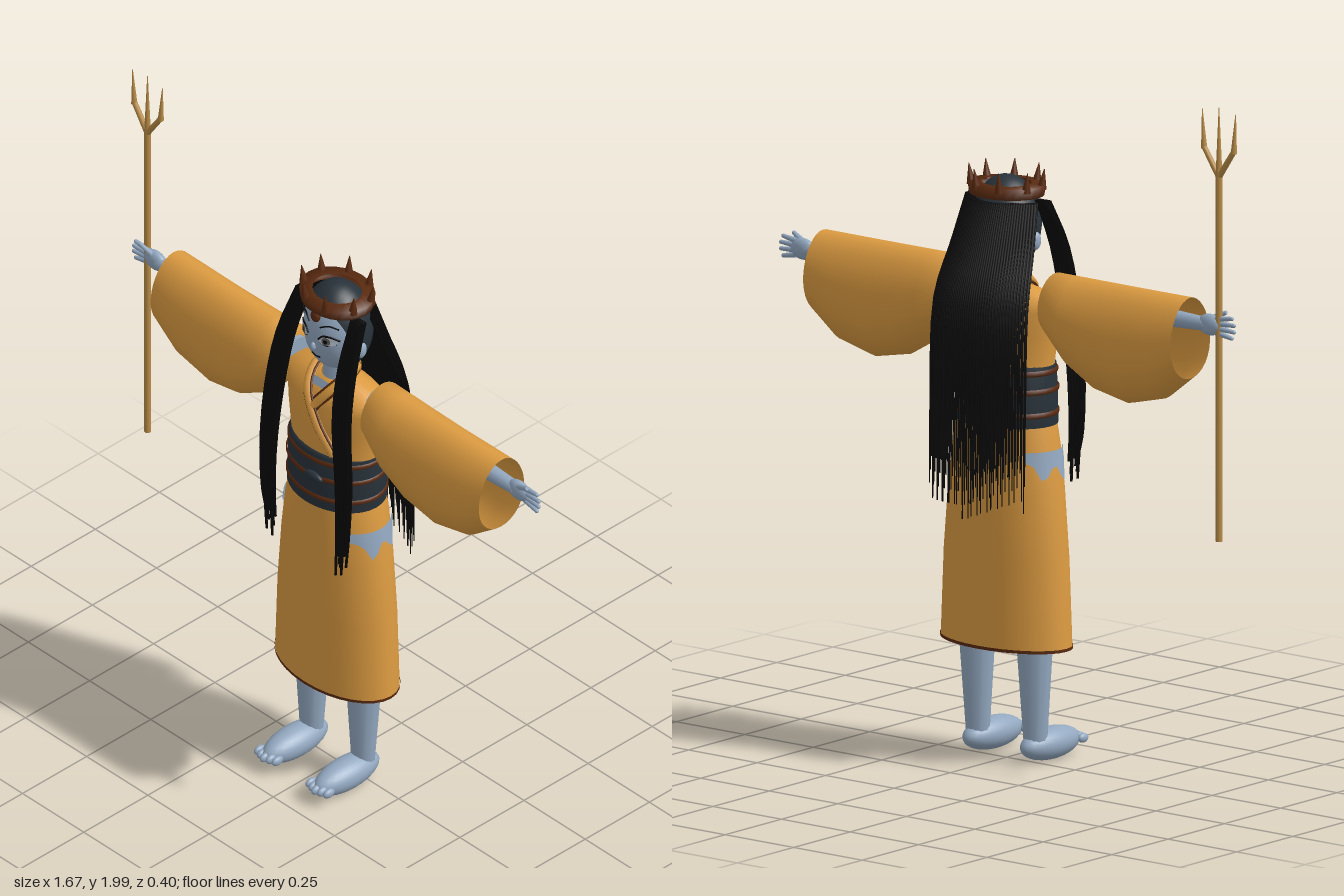
import * as THREE from 'three';
import { mergeGeometries } from 'three/addons/utils/BufferGeometryUtils.js';

const mat = (name, color, open) => {
  const m = new THREE.MeshStandardMaterial({ color });
  m.name = name;
  if (open) m.side = THREE.DoubleSide;
  return m;
};
const V = (x, y, z) => new THREE.Vector3(x, y, z);

// Smooth skin over equally sized closed rings of points
function loft(rings) {
  const n = rings[0].length, idx = [];
  for (let i = 0; i < rings.length - 1; i++) for (let j = 0; j < n; j++) {
    const a = i * n + j, b = i * n + (j + 1) % n;
    idx.push(a, a + n, b, b, a + n, b + n);
  }
  const g = new THREE.BufferGeometry().setFromPoints(rings.flat());
  g.setIndex(idx);
  g.computeVertexNormals();
  return g;
}
const ring = (f, n = 32) => Array.from({ length: n }, (_, j) => f(Math.cos(j / n * 2 * Math.PI), Math.sin(j / n * 2 * Math.PI)));
const hoop = (y, rx, rz, n) => ring((c, s) => V(rx * c, y, rz * s), n);

// Tapered hanging strand through a few points
function strand(points, r0, r1) {
  const curve = new THREE.CatmullRomCurve3(points), steps = 14;
  return loft(Array.from({ length: steps + 1 }, (_, i) => {
    const t = i / steps, p = curve.getPoint(t), r = r0 + (r1 - r0) * t;
    return ring((c, s) => V(p.x + r * c, p.y, p.z + r * s), 5);
  }));
}

export function createModel() {
  const M = {
    robe: mat('ochre cloth', 0xdc9b41, true), skin: mat('blue grey skin', 0x93a8c0, true),
    slate: mat('dark slate', 0x28323a, true), hair: mat('black hair', 0x060606, true),
    brown: mat('dark brown', 0x592a10, true), gold: mat('dull gold', 0xb98c48),
    pale: mat('pale eye', 0xb4c0cc, true), iris: mat('iris grey', 0x5f5a58, true),
  };
  const model = new THREE.Group();
  model.name = 'robedFigure';
  const add = (name, geo, material, x = 0, y = 0, z = 0, parent = model) => {
    const m = new THREE.Mesh(geo, material);
    m.name = name;
    m.position.set(x, y, z);
    parent.add(m);
    return m;
  };
  const ball = (name, material, x, y, z, rx, ry, rz) =>
    add(name, new THREE.SphereGeometry(1, 24, 16).scale(rx, ry, rz), material, x, y, z);
  const rod = (name, material, a, b, ra, rb) => {
    const m = add(name, new THREE.CylinderGeometry(rb, ra, a.distanceTo(b), 12), material);
    m.position.copy(a).lerp(b, 0.5);
    m.quaternion.setFromUnitVectors(V(0, 1, 0), b.clone().sub(a).normalize());
    return m;
  };
  const cord = (name, material, pts, r) =>
    add(name, new THREE.TubeGeometry(new THREE.CatmullRomCurve3(pts), 16, r, 6), material);

  // Robe: open skirt and closed bodice
  const skirt = [[0.345, 0.217, 0.127], [0.6, 0.205, 0.127], [0.8, 0.187, 0.125], [0.92, 0.171, 0.122], [1.0, 0.155, 0.118]];
  add('skirt', loft(skirt.map(s => hoop(...s))), M.robe);
  add('hem', loft([hoop(0.343, 0.219, 0.129), hoop(0.352, 0.219, 0.129)]), M.brown);
  add('bodice', loft([[1.0, 0.15, 0.115], [1.16, 0.155, 0.103], [1.25, 0.168, 0.102], [1.32, 0.178, 0.094],
    [1.36, 0.18, 0.075], [1.385, 0.045, 0.045]].map(s => hoop(...s))), M.robe);

  // Sash with cords
  add('sash', loft([[0.985, 0.15, 0.115], [0.987, 0.16, 0.124], [1.08, 0.158, 0.122], [1.16, 0.156, 0.115], [1.165, 0.148, 0.1]]
    .map(s => hoop(...s))), M.slate);
  for (const [y, rx, rz] of [[1.022, 0.163, 0.127], [1.09, 0.163, 0.127], [1.143, 0.161, 0.121]])
    add('sashCord', loft([hoop(y - 0.008, rx - 0.004, rz - 0.004), hoop(y - 0.004, rx, rz), hoop(y + 0.004, rx, rz),
      hoop(y + 0.008, rx - 0.004, rz - 0.004)]), M.brown);
  ball('sashKnot', M.slate, 0.03, 1.09, 0.122, 0.035, 0.016, 0.012);

  // Skin at the neckline and crossed collar
  rod('neck', M.skin, V(0, 1.33, 0), V(0, 1.46, 0), 0.043, 0.04);
  add('neckline', new THREE.BufferGeometry().setFromPoints([V(-0.05, 1.385, 0.06), V(0, 1.305, 0.1), V(0.05, 1.385, 0.06)]), M.skin)
    .geometry.computeVertexNormals();
  const collars = [
    [V(0.045, 1.41, -0.035), V(0.062, 1.405, 0.015), V(0.045, 1.375, 0.062), V(0, 1.31, 0.094)],
    [V(-0.045, 1.41, -0.035), V(-0.06, 1.4, 0.015), V(-0.035, 1.355, 0.078), V(0.025, 1.265, 0.101), V(0.085, 1.18, 0.094)],
  ];
  collars.forEach((pts, i) => {
    const side = i ? 1 : -1;
    cord('collar', M.robe, pts, 0.015);
    for (const e of [-1, 1]) cord('collarEdge', M.brown,
      pts.map(p => V(p.x + e * 0.013, p.y + e * side * 0.008, p.z + 0.004)), 0.0035);
  });
  cord('collarBack', M.robe, [V(-0.045, 1.41, -0.035), V(0, 1.41, -0.055), V(0.045, 1.41, -0.035)], 0.015);

  const sleeve = [[0.175, 1.31, 0.045], [0.18, 1.26, 0.082], [0.26, 1.175, 0.096], [0.35, 1.122, 0.1], [0.46, 1.1, 0.1],
    [0.58, 1.13, 0.098], [0.67, 1.2, 0.088]];
  for (const s of [-1, 1]) {
    const side = s > 0 ? 'left' : 'right';
    // Hanging sleeve, open at the wrist
    add(side + 'Sleeve', loft(sleeve.map(([x, low, rz], i) => {
      const top = i ? 1.435 : 1.4, mid = (top + low) / 2;
      return ring((c, n) => V(s * x, mid + (top - low) / 2 * c, rz * n * (1 - 0.1 * c)));
    })), M.robe);

    // Arm and hand
    rod(side + 'Arm', M.skin, V(s * 0.16, 1.365, 0), V(s * 0.73, 1.367, 0), 0.045, 0.02);
    ball(side + 'Palm', M.skin, s * 0.742, 1.368, 0, 0.042, 0.031, 0.02);
    for (let f = 0; f < 4; f++) {
      const k = f - 1.5, tip = V(s * (0.83 - Math.abs(k) * 0.008), 1.366 + k * 0.019, 0.004);
      rod(side + 'Finger', M.skin, V(s * 0.765, 1.368 + k * 0.013, 0), tip, 0.009, 0.006);
      ball(side + 'Fingertip', M.skin, tip.x, tip.y, tip.z, 0.006, 0.006, 0.006);
    }
    rod(side + 'Thumb', M.skin, V(s * 0.745, 1.385, 0.006), V(s * 0.79, 1.407, 0.015), 0.01, 0.006);

    // Leg, foot and toes
    rod(side + 'Leg', M.skin, V(s * 0.105, 0.05, 0), V(s * 0.105, 0.5, -0.005), 0.033, 0.062);
    ball(side + 'Foot', M.skin, s * 0.105, 0.053, 0.065, 0.05, 0.047, 0.12);
    for (let t = 0; t < 5; t++) {
      const k = t - 2;
      ball(side + 'Toe', M.skin, s * 0.105 + k * 0.018, 0.053, 0.18 - Math.abs(k) * 0.006, 0.0105, 0.014, 0.02);
    }

    // Jagged hip opening following the skirt
    const drop = [0.03, 0.04, 0.08, 0.075, 0.05, 0.045, 0.075, 0.09, 0.05, 0.035, 0.03], pos = [], idx = [];
    drop.forEach((d, i) => {
      const a = (i / 10 - 0.5) * 1.4;
      for (const y of [0.92, 0.92 - d]) {
        const grow = (0.92 - y) * 0.14;
        pos.push(V(s * (0.176 + grow) * Math.cos(a), y, (0.127 + grow * 0.2) * Math.sin(a)));
      }
      if (i) idx.push(2 * i - 2, 2 * i - 1, 2 * i, 2 * i, 2 * i - 1, 2 * i + 1);
    });
    const hip = new THREE.BufferGeometry().setFromPoints(pos);
    hip.setIndex(idx);
    hip.computeVertexNormals();
    add(side + 'HipOpening', hip, M.skin);

    // Long front lock
    const lock = [];
    for (let i = 0; i < 10; i++) {
      const u = (i % 5) / 4 - 0.5, w = i < 5 ? 0 : -0.012, end = 0.8 + (i * 7 % 10) * 0.012;
      lock.push(strand([V(s * (0.112 + u * 0.03), 1.63, 0.03 + w), V(s * (0.125 + u * 0.045), 1.5, 0.085 + w),
        V(s * (0.135 + u * 0.05), 1.34, 0.118 + w), V(s * (0.153 + u * 0.045), 1.12, 0.128 + w),
        V(s * (0.152 + u * 0.035), 0.95, 0.13 + w), V(s * (0.144 + u * 0.03), end, 0.13 + w)], 0.009, 0.004));
    }
    add(side + 'FrontLock', mergeGeometries(lock), M.hair);
    ball(side + 'Ear', M.skin, s * 0.103, 1.515, 0.005, 0.012, 0.026, 0.018);
  }

  // Head and skull cap of hair
  ball('head', M.skin, 0, 1.55, 0, 0.098, 0.14, 0.095);
  add('hairCap', new THREE.SphereGeometry(1, 32, 20, 0, Math.PI * 2, 0, 1.9).rotateX(-1.12).scale(0.106, 0.145, 0.1), M.slate, 0, 1.55, 0);

  // Face details laid on the head's surface
  const onFace = (x, y, lift) => V(x, y, 0.095 * Math.sqrt(1 - (x / 0.098) ** 2 - ((y - 1.55) / 0.14) ** 2) + lift);
  const spot = (name, material, x, y, rx, ry, lift) => {
    const g = new THREE.CircleGeometry(1, 20), p = g.attributes.position;
    for (let i = 0; i < p.count; i++) {
      const q = onFace(x + p.getX(i) * rx, y + p.getY(i) * ry, lift);
      p.setXYZ(i, q.x, q.y, q.z);
    }
    g.computeVertexNormals();
    add(name, g, material);
  };
  const line = (name, pts, r) => cord(name, M.hair, pts.map(([x, y]) => onFace(x, y, 0.001)), r);
  for (const s of [-1, 1]) {
    spot('eye', M.pale, s * 0.047, 1.555, 0.025, 0.014, 0.003);
    spot('iris', M.iris, s * 0.045, 1.556, 0.012, 0.013, 0.005);
    spot('pupil', M.hair, s * 0.045, 1.556, 0.006, 0.007, 0.007);
    line('upperLid', [[s * 0.02, 1.555], [s * 0.032, 1.568], [s * 0.052, 1.571], [s * 0.076, 1.56]], 0.003);
    line('lowerLid', [[s * 0.025, 1.546], [s * 0.045, 1.539], [s * 0.07, 1.549]], 0.0017);
    line('brow', [[s * 0.022, 1.594], [s * 0.045, 1.604], [s * 0.07, 1.596]], 0.0025);
  }
  line('mouth', [[-0.017, 1.484], [0, 1.481], [0.017, 1.484]], 0.0022);
  ball('nose', M.skin, 0, 1.52, 0.093, 0.008, 0.014, 0.01);

  // Crown with eight points and a brow jewel
  add('crownBand', loft([[1.64, 0.098, 0.08], [1.64, 0.114, 0.096], [1.67, 0.118, 0.098], [1.673, 0.075, 0.065]]
    .map(r => hoop(...r, 24))), M.brown);
  for (let i = 0; i < 8; i++) {
    const a = (i + 0.5) * Math.PI / 4, c = Math.cos(a), n = Math.sin(a);
    rod('crownPoint', M.brown, V(0.108 * c, 1.66, 0.09 * n), V(0.116 * c, 1.718, 0.098 * n), 0.014, 0.001);
  }
  ball('browJewel', M.brown, 0, 1.622, 0.085, 0.016, 0.02, 0.012);

  // Back hair: a curved curtain of fine strands with uneven ends
  const back = [];
  for (let row = 0; row < 2; row++) for (let i = 0; i < 46; i++) {
    const u = (i + row * 0.5) / 45.5 * 2 - 1, k = 1 - u * u, w = row * 0.012;
    const end = 0.73 + ((i * 17 + row * 11) % 23) / 23 * 0.16 + Math.abs(u) * 0.03;
    back.push(strand([V(u * 0.125, 1.63, -0.025 - 0.07 * k + w), V(u * 0.145, 1.5, -0.065 - 0.075 * k + w),
      V(u * 0.168, 1.34, -0.118 - 0.07 * k + w), V(u * 0.172, 1.05, -0.132 - 0.06 * k + w),
      V(u * 0.172, end, -0.135 - 0.06 * k + w)], 0.0052, 0.0016));
  }
  add('backHair', mergeGeometries(back), M.hair);

  // Three-pronged staff held in the right hand
  const px = -0.775;
  rod('staffPole', M.gold, V(px, 0.745, 0), V(px, 1.82, 0), 0.01, 0.01);
  rod('middleProng', M.gold, V(px, 1.8, 0), V(px, 2, 0), 0.01, 0.001);
  for (const s of [-1, 1]) {
    rod('prongArm', M.gold, V(px, 1.8, 0), V(px + s * 0.054, 1.88, 0), 0.009, 0.008);
    rod('sideProng', M.gold, V(px + s * 0.054, 1.875, 0), V(px + s * 0.061, 1.99, 0), 0.009, 0.001);
  }
  return model;
}
